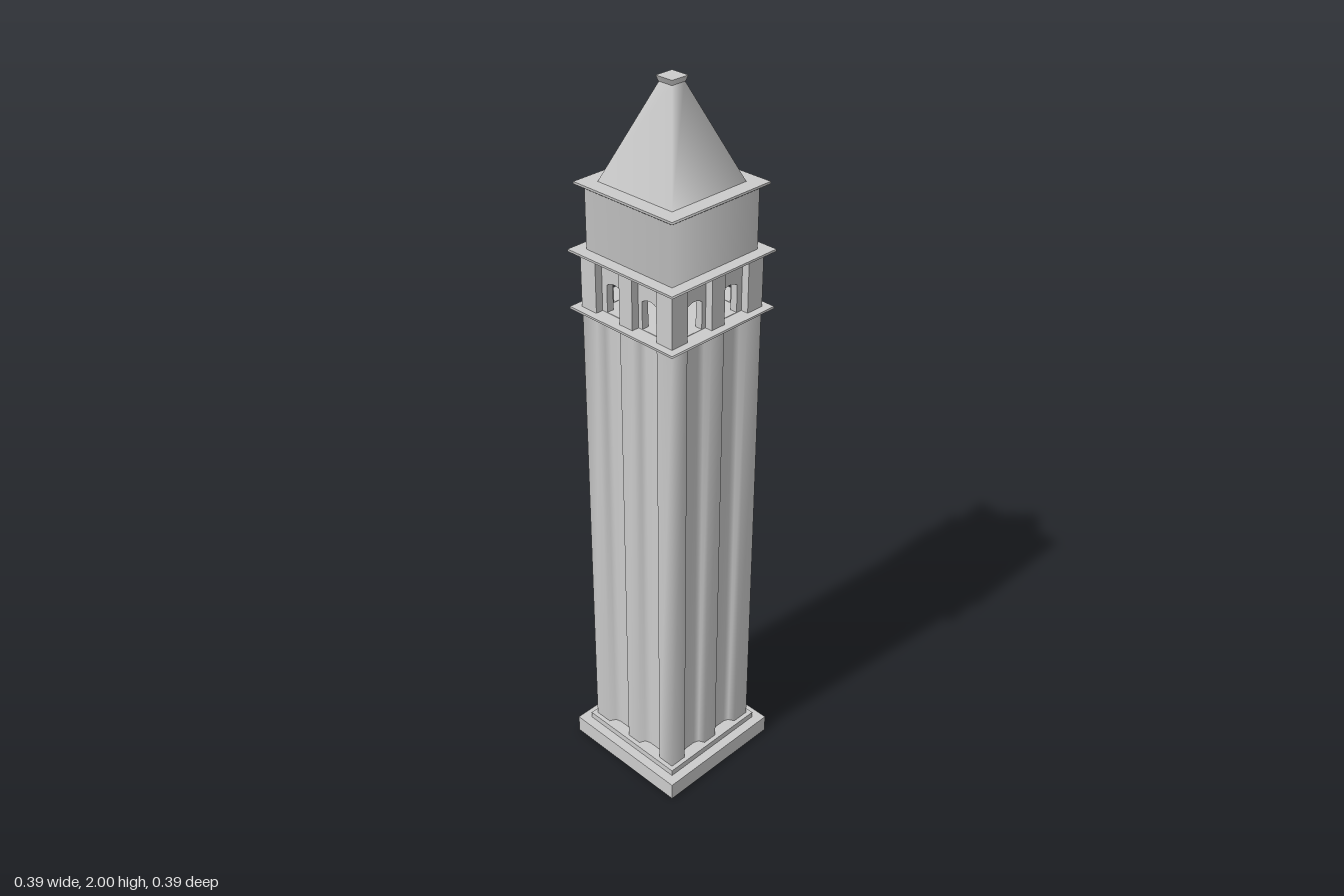
import * as THREE from 'three';

const grey = new THREE.MeshStandardMaterial({ color: 0xcccccc, side: THREE.DoubleSide });

function add(parent, name, geometry) {
  const mesh = new THREE.Mesh(geometry, grey);
  mesh.name = name;
  parent.add(mesh);
  return mesh;
}

// Square frustum with softly shaded corners, given by half widths and heights
function square(bottom, top, y0, y1, open = false) {
  return new THREE.CylinderGeometry(top * Math.SQRT2, bottom * Math.SQRT2, y1 - y0, 4, 1, open)
    .rotateY(Math.PI / 4).translate(0, (y0 + y1) / 2, 0);
}

// Fluted plan: corner and middle pilasters with two channels on each side
function flutedOutline(h) {
  const half = [[0.022, h], [0.03, h - 0.017], [0.045, h - 0.022],
    [0.08, h - 0.022], [0.095, h - 0.017], [0.104, h]];
  const side = [...half.map(([x, z]) => [-x, z]).reverse(), ...half, [h, h]];
  const points = [];
  for (let i = 0; i < 4; i++) {
    const a = i * Math.PI / 2, c = Math.cos(a), s = Math.sin(a);
    for (const [x, z] of side) points.push([x * c + z * s, z * c - x * s]);
  }
  return points;
}

// Wall following a closed outline, wrapped from a plane
function outlineWall(points, y0, y1) {
  const n = points.length;
  const geometry = new THREE.PlaneGeometry(1, 1, n, 1);
  const pos = geometry.attributes.position;
  for (let i = 0; i < pos.count; i++) {
    const [x, z] = points[i % (n + 1) % n];
    pos.setXYZ(i, x, pos.getY(i) > 0 ? y1 : y0, z);
  }
  geometry.computeVertexNormals();
  return geometry;
}

function squarePoints(h) {
  return [[-h, -h], [h, -h], [h, h], [-h, h]].map(p => new THREE.Vector2(...p));
}

// Flat square ring with a hole of any outline
function ring(h, hole, y0, y1) {
  const shape = new THREE.Shape(squarePoints(h));
  shape.holes.push(new THREE.Path(hole));
  return new THREE.ExtrudeGeometry(shape, { depth: y1 - y0, bevelEnabled: false })
    .rotateX(-Math.PI / 2).translate(0, y0, 0);
}

// Flared moulding with a thin slab on top
function cornice(parent, name, inner, outer, y0, y1) {
  const group = new THREE.Group();
  group.name = name;
  const mid = y1 - 0.006;
  add(group, 'moulding', square(inner, outer - 0.003, y0, mid));
  add(group, 'slab', square(outer, outer, mid, y1));
  parent.add(group);
}

// One pierced belfry wall with two shallow-arched openings
function belfryWall(y0, y1) {
  const w = 0.135;
  const shape = new THREE.Shape([[-w, y0], [w, y0], [w, y1], [-w, y1]].map(p => new THREE.Vector2(...p)));
  for (const cx of [-0.061, 0.061]) {
    const r = 0.026, spring = 1.494;
    const hole = new THREE.Path();
    hole.moveTo(cx - r, y0 + 0.002);
    hole.lineTo(cx + r, y0 + 0.002);
    hole.lineTo(cx + r, spring);
    hole.quadraticCurveTo(cx, spring + 0.018, cx - r, spring);
    hole.closePath();
    shape.holes.push(hole);
  }
  return new THREE.ExtrudeGeometry(shape, { depth: 0.02, bevelEnabled: false, curveSegments: 8 })
    .translate(0, 0, 0.115);
}

export function createModel() {
  const tower = new THREE.Group();
  tower.name = 'bellTower';

  // Hollow plinth and step
  const outline = flutedOutline(0.155);
  add(tower, 'plinth', ring(0.195, squarePoints(0.164), 0, 0.052));
  add(tower, 'plinthStep', ring(0.168, outline.map(([x, z]) => new THREE.Vector2(x, -z)), 0.045, 0.07));

  // Fluted shaft
  add(tower, 'shaft', outlineWall(outline, 0.05, 1.402));
  cornice(tower, 'lowerCornice', 0.16, 0.177, 1.4, 1.419);

  // Open belfry: pierced walls, middle posts and corner posts
  const belfry = new THREE.Group();
  belfry.name = 'belfry';
  const y0 = 1.418, y1 = 1.558, h = y1 - y0, cy = (y0 + y1) / 2;
  for (let i = 0; i < 4; i++) {
    const side = new THREE.Group();
    side.name = 'belfrySide';
    side.rotation.y = i * Math.PI / 2;
    add(side, 'piercedWall', belfryWall(y0, y1));
    add(side, 'middlePost', new THREE.BoxGeometry(0.044, h, 0.042).translate(0, cy, 0.135));
    add(side, 'cornerPost', new THREE.BoxGeometry(0.052, h, 0.052).translate(0.13, cy, 0.13));
    belfry.add(side);
  }
  tower.add(belfry);
  cornice(tower, 'middleCornice', 0.16, 0.177, 1.555, 1.573);

  // Plain upper stage
  add(tower, 'upperStage', square(0.145, 0.145, 1.57, 1.732, true));
  cornice(tower, 'upperCornice', 0.148, 0.163, 1.73, 1.746);

  // Spire with its small cap
  add(tower, 'spire', square(0.123, 0.02, 1.745, 1.988));
  add(tower, 'spireCap', square(0.022, 0.026, 1.986, 2));

  return tower;
}
